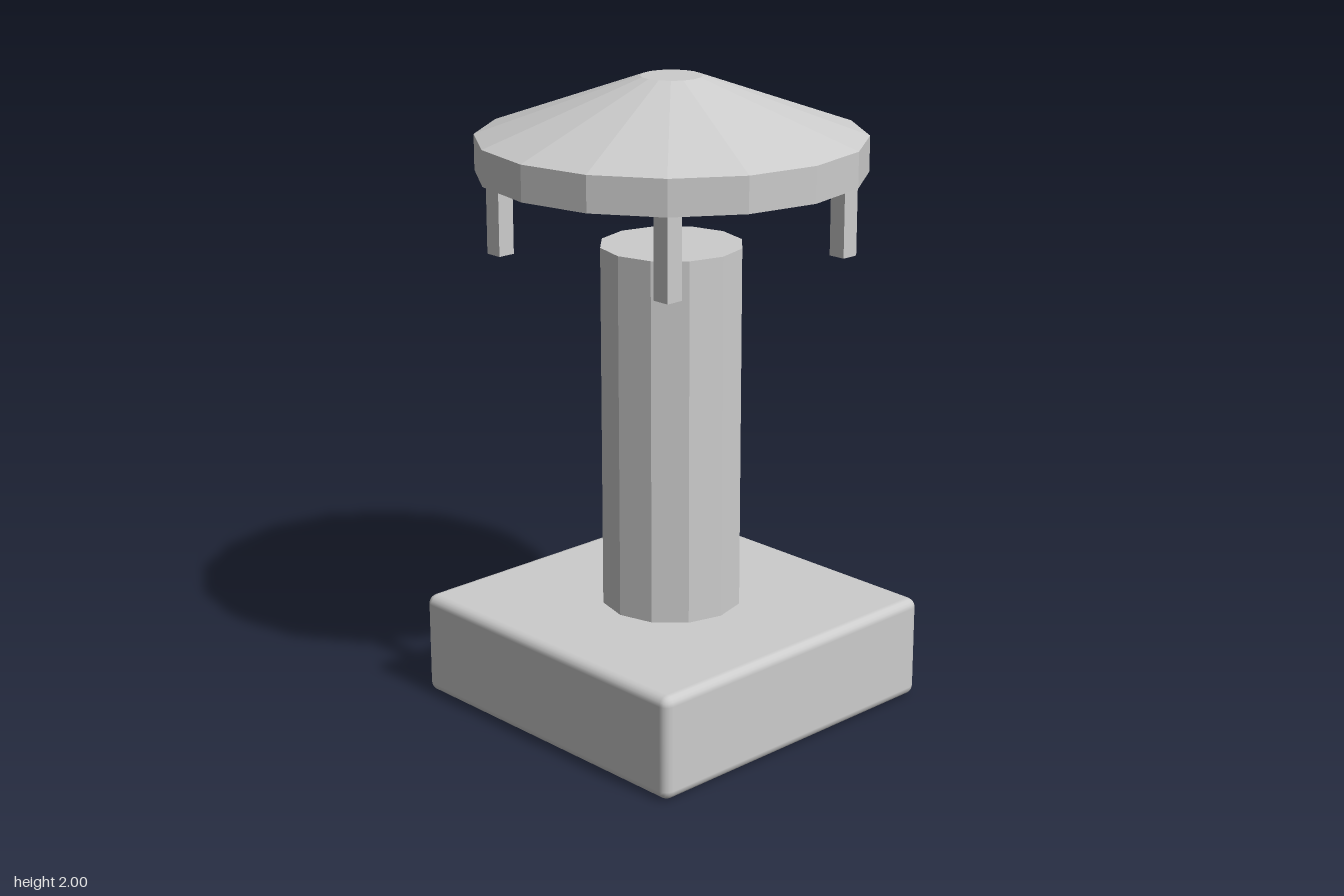
import * as THREE from 'three';
import { RoundedBoxGeometry } from 'three/addons/geometries/RoundedBoxGeometry.js';

// Gives every face its own normal for a faceted look
function faceted(geometry) {
  const g = geometry.toNonIndexed();
  g.computeVertexNormals();
  return g;
}

export function createModel() {
  const model = new THREE.Group();
  model.name = 'lantern';

  const stone = new THREE.MeshStandardMaterial({ color: 0xcccccc });
  stone.name = 'light grey stone';

  function add(name, geometry, x = 0, y = 0, z = 0) {
    const mesh = new THREE.Mesh(geometry, stone);
    mesh.name = name;
    mesh.position.set(x, y, z);
    model.add(mesh);
  }

  // Square base block with softened edges
  const baseHeight = 0.33;
  add('base', new RoundedBoxGeometry(1.11, baseHeight, 1.11, 2, 0.03), 0, baseHeight / 2, 0);

  // Twelve-sided column
  const columnTop = 1.485;
  const columnHeight = columnTop - baseHeight;
  add('column', faceted(new THREE.CylinderGeometry(0.222, 0.222, columnHeight, 12)),
    0, baseHeight + columnHeight / 2, 0);

  // Sixteen-sided roof: flat underside, upright rim, slope and small flat cap
  const roofProfile = [[0, 1.71], [0.594, 1.71], [0.594, 1.82], [0.094, 2], [0, 2]]
    .map(([r, y]) => new THREE.Vector2(r, y));
  add('roof', faceted(new THREE.LatheGeometry(roofProfile, 16)));

  // Four square posts hanging under the roof
  const postGeometry = new THREE.BoxGeometry(0.057, 0.26, 0.057);
  for (const [sideX, xName] of [[1, 'Left'], [-1, 'Right']]) {
    for (const [sideZ, zName] of [[1, 'front'], [-1, 'back']]) {
      add(`${zName}${xName}Post`, postGeometry, sideX * 0.368, 1.58, sideZ * 0.368);
    }
  }

  return model;
}
